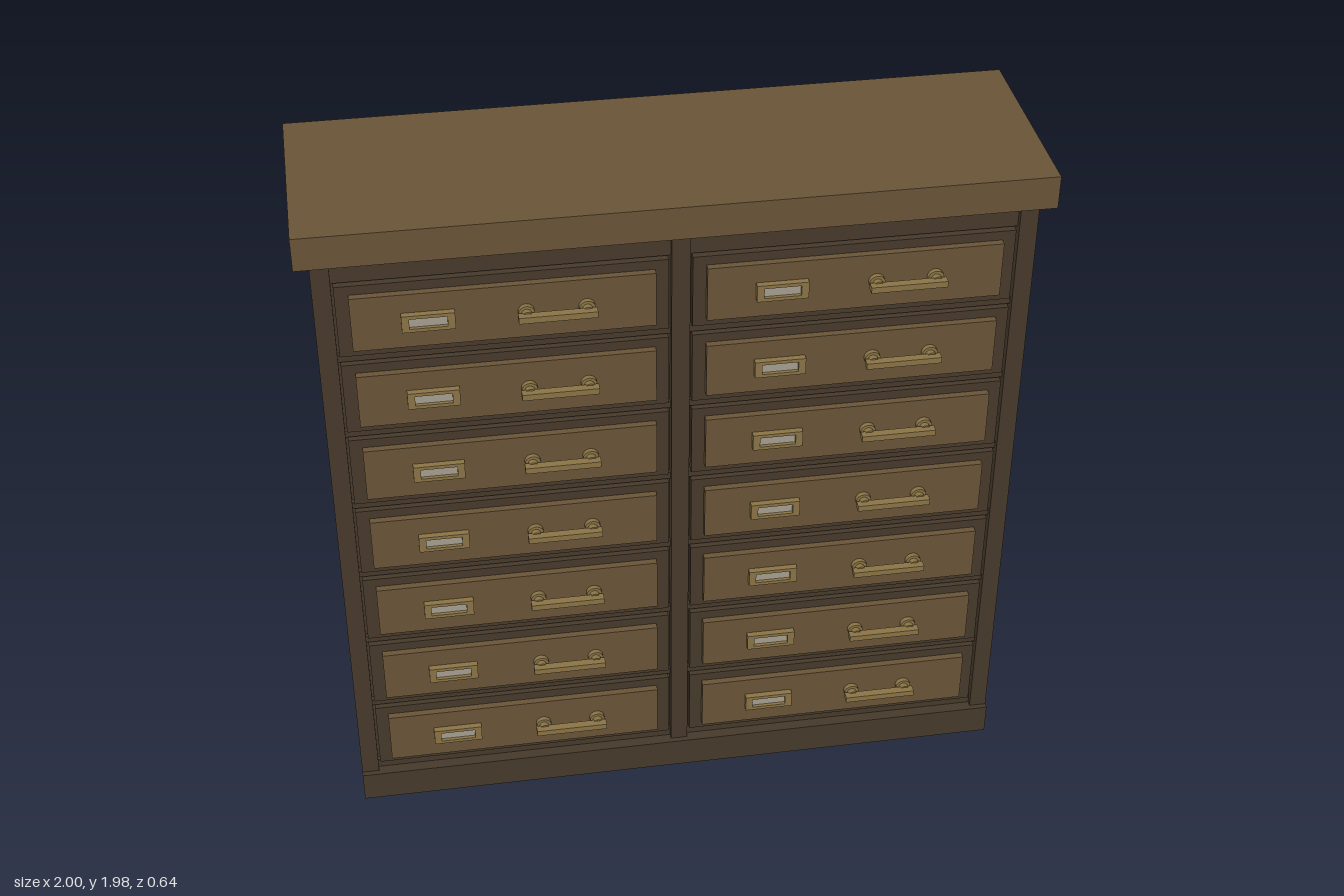
import * as THREE from 'three';

const mat = (name, color) => {
  const m = new THREE.MeshStandardMaterial({ color });
  m.name = name;
  return m;
};

export function createModel() {
  const wood = mat('warm wood', 0x6b5538);
  const dark = mat('dark wood', 0x473a2b);
  const brass = mat('aged brass', 0x8c7647);
  const paper = mat('label paper', 0xa8a092);

  const cabinet = new THREE.Group();
  cabinet.name = 'drawerCabinet';

  // Box given by its extents along each axis
  const box = (parent, name, material, [x0, x1], [y0, y1], [z0, z1]) => {
    const mesh = new THREE.Mesh(new THREE.BoxGeometry(x1 - x0, y1 - y0, z1 - z0), material);
    mesh.position.set((x0 + x1) / 2, (y0 + y1) / 2, (z0 + z1) / 2);
    mesh.name = name;
    parent.add(mesh);
    return mesh;
  };
  // Short round bar pointing forward
  const peg = (parent, name, radius, x, z0, z1) => {
    const mesh = new THREE.Mesh(new THREE.CylinderGeometry(radius, radius, z1 - z0, 16), brass);
    mesh.rotation.x = Math.PI / 2;
    mesh.position.set(x, 0, (z0 + z1) / 2);
    mesh.name = name;
    parent.add(mesh);
  };

  const back = -0.293, front = 0.257, low = 0.095, high = 1.885;

  // Carcass
  box(cabinet, 'plinth', dark, [-0.96, 0.96], [0, low], [-0.308, 0.273]);
  box(cabinet, 'top', wood, [-1, 1], [high, 1.98], [-0.32, 0.285]);
  box(cabinet, 'core', dark, [-0.91, 0.91], [low, high], [back, 0.225]);
  box(cabinet, 'rightSide', dark, [-0.96, -0.91], [low, high], [back, front]);
  box(cabinet, 'leftSide', dark, [0.91, 0.96], [low, high], [back, front]);
  box(cabinet, 'divider', dark, [-0.025, 0.025], [low, high], [0.225, front]);

  // Label holder frame with an open window
  const frame = new THREE.Shape([
    [-0.07, -0.025], [0.07, -0.025], [0.07, 0.025], [-0.07, 0.025],
  ].map(p => new THREE.Vector2(...p)));
  frame.holes.push(new THREE.Path([
    [-0.05, -0.015], [-0.05, 0.015], [0.05, 0.015], [0.05, -0.015],
  ].map(p => new THREE.Vector2(...p))));
  const frameGeometry = new THREE.ExtrudeGeometry(frame, { depth: 0.018, bevelEnabled: false });

  const makeDrawer = () => {
    const drawer = new THREE.Group();
    drawer.name = 'drawer';
    box(drawer, 'drawerFront', dark, [-0.436, 0.436], [-0.108, 0.108], [0.225, 0.252]);
    box(drawer, 'drawerPanel', wood, [-0.4, 0.4], [-0.081, 0.081], [0.252, 0.272]);

    const holder = new THREE.Mesh(frameGeometry, brass);
    holder.position.set(-0.2, 0, 0.272);
    holder.name = 'labelHolder';
    drawer.add(holder);
    box(drawer, 'label', paper, [-0.25, -0.15], [-0.015, 0.015], [0.272, 0.28]);

    // Pull handle: two rosettes, two posts and a bar
    const handle = new THREE.Group();
    handle.name = 'handle';
    handle.position.x = 0.136;
    for (const x of [-0.08, 0.08]) {
      peg(handle, 'rosette', 0.022, x, 0.272, 0.286);
      peg(handle, 'post', 0.014, x, 0.286, 0.302);
    }
    box(handle, 'handleBar', brass, [-0.104, 0.104], [-0.009, 0.009], [0.296, 0.32]);
    drawer.add(handle);
    return drawer;
  };

  // Two columns of seven drawers with rails between
  const pitch = 0.2443, firstY = 0.233;
  for (const side of [-1, 1]) {
    const xs = side < 0 ? [-0.91, -0.025] : [0.025, 0.91];
    for (let i = 0; i < 7; i++) {
      const y = firstY + i * pitch;
      const drawer = makeDrawer();
      drawer.position.set(side * 0.468, y, 0);
      cabinet.add(drawer);
      if (i < 6) box(cabinet, 'rail', dark, xs, [y + 0.112, y + pitch - 0.112], [0.225, 0.24]);
    }
    box(cabinet, 'topRail', dark, xs, [1.812, high], [0.225, 0.24]);
    box(cabinet, 'bottomRail', dark, xs, [low, 0.121], [0.225, 0.24]);
  }

  return cabinet;
}
